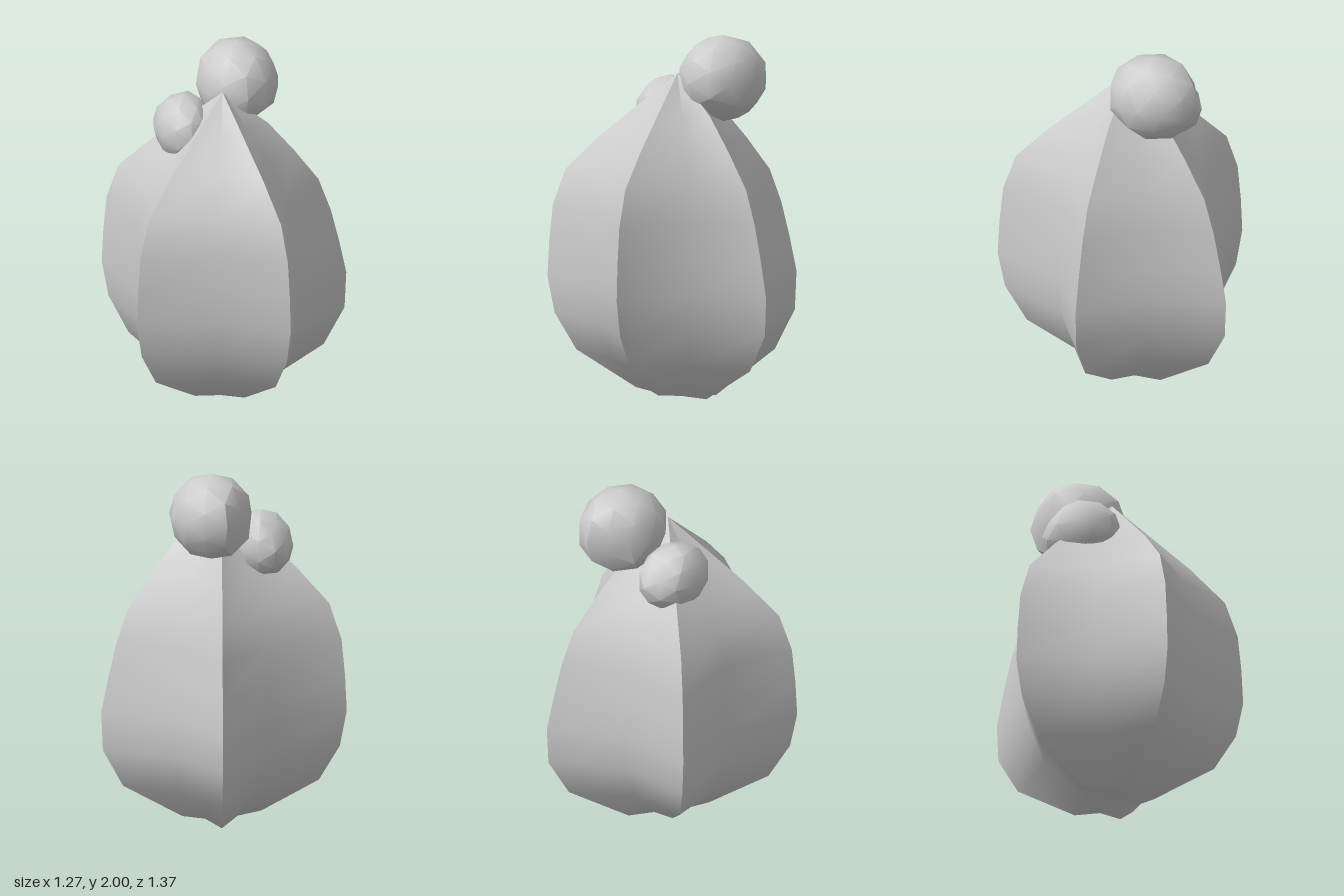
import * as THREE from 'three';
import { mergeVertices, toCreasedNormals } from 'three/addons/utils/BufferGeometryUtils.js';

const AXIS = { x: -0.06, z: 0.005 };

// Rib profiles as [radius, height], from the apex down to the base
const HIGH = [[0, 1.81], [0.24, 1.61], [0.43, 1.45], [0.62, 1.26], [0.69, 1.06],
  [0.71, 0.86], [0.72, 0.66], [0.68, 0.46], [0.56, 0.26], [0.23, 0.06]];
const LOW = [[0, 1.81], [0.26, 1.6], [0.41, 1.42], [0.55, 1.23], [0.62, 1.04],
  [0.67, 0.84], [0.71, 0.65], [0.7, 0.44], [0.58, 0.23], [0.23, 0.03]];

// Ridge tips and the grooves that follow them, seen from above
const TIPS = [
  { x: 0.64, z: 0.01, profile: LOW },
  { x: 0.16, z: 0.69, profile: HIGH },
  { x: -0.64, z: 0.43, profile: HIGH },
  { x: -0.64, z: -0.41, profile: HIGH },
  { x: 0.17, z: -0.69, profile: LOW, drop: 0.025 },
];
const GROOVES = [[0.3, 0.27], [-0.21, 0.5], [-0.54, 0.01], [-0.2, -0.44], [0.33, -0.28]];

// One ridge line: the profile stretched from the axis towards (x, z)
function ridge({ x, z, profile, drop = 0 }) {
  return profile.map(([r, y], i) => {
    const f = r / 0.72;
    return [AXIS.x + (x - AXIS.x) * f, y - (i === profile.length - 1 ? drop : 0), AXIS.z + (z - AXIS.z) * f];
  });
}

// Panel between two ridges: smooth across its groove, sharp at the ridges
function panelGeometry(a, [gx, gz], b) {
  const profile = a.profile.map(([r, y], i) => [(r + b.profile[i][0]) / 2, (y + b.profile[i][1]) / 2]);
  const columns = [ridge(a), ridge({ x: gx, z: gz, profile }), ridge(b)];
  const rows = HIGH.length;
  const index = [];
  for (let c = 0; c < 2; c++) {
    for (let r = 0; r < rows - 1; r++) {
      const p = c * rows + r, q = p + rows;
      index.push(p + 1, p, q + 1);
      if (r > 0) index.push(p, q, q + 1);
    }
  }
  // Underside closes towards the axis
  const hub = rows * 3;
  for (let c = 0; c < 2; c++) index.push(hub, (c + 1) * rows - 1, (c + 2) * rows - 1);
  const geometry = new THREE.BufferGeometry();
  geometry.setAttribute('position', new THREE.Float32BufferAttribute([...columns.flat(2), AXIS.x, 0.07, AXIS.z], 3));
  geometry.setIndex(index);
  geometry.computeVertexNormals();
  return geometry;
}

// Lumpy ball: a coarse sphere with flats cut by planes [normal, distance]
function lumpGeometry(radii, flats) {
  let geometry = new THREE.IcosahedronGeometry(1, 1);
  geometry.deleteAttribute('normal');
  geometry.deleteAttribute('uv');
  geometry = mergeVertices(geometry);
  const position = geometry.attributes.position;
  const v = new THREE.Vector3();
  for (let i = 0; i < position.count; i++) {
    v.fromBufferAttribute(position, i);
    for (const [n, d] of flats) {
      const normal = new THREE.Vector3(...n).normalize();
      v.addScaledVector(normal, -Math.max(0, v.dot(normal) - d));
    }
    position.setXYZ(i, v.x * radii[0], v.y * radii[1], v.z * radii[2]);
  }
  return toCreasedNormals(geometry, 0.66);
}

export function createModel() {
  const model = new THREE.Group();
  const material = new THREE.MeshStandardMaterial({ color: 0xcccccc, side: THREE.DoubleSide });

  // Five-ridged body
  const body = new THREE.Group();
  body.name = 'ribbedBody';
  TIPS.forEach((tip, i) => {
    const panel = new THREE.Mesh(panelGeometry(tip, GROOVES[i], TIPS[(i + 1) % 5]), material);
    panel.name = `bodyPanel${i + 1}`;
    body.add(panel);
  });
  model.add(body);

  // Two lumps resting beside the apex
  const lumps = [
    ['largeTopLump', [0.07, 1.77, -0.21], [0.23, 0.24, 0.265], [[[-0.6, -0.1, -0.8], 0.8], [[0.5, -0.8, 0.6], 0.9]]],
    ['smallSideLump', [-0.25, 1.57, -0.125], [0.165, 0.19, 0.22], [[[-0.3, 0.6, -0.8], 0.86]]],
  ];
  for (const [name, position, radii, flats] of lumps) {
    const lump = new THREE.Mesh(lumpGeometry(radii, flats), material);
    lump.name = name;
    lump.position.set(...position);
    model.add(lump);
  }
  return model;
}
